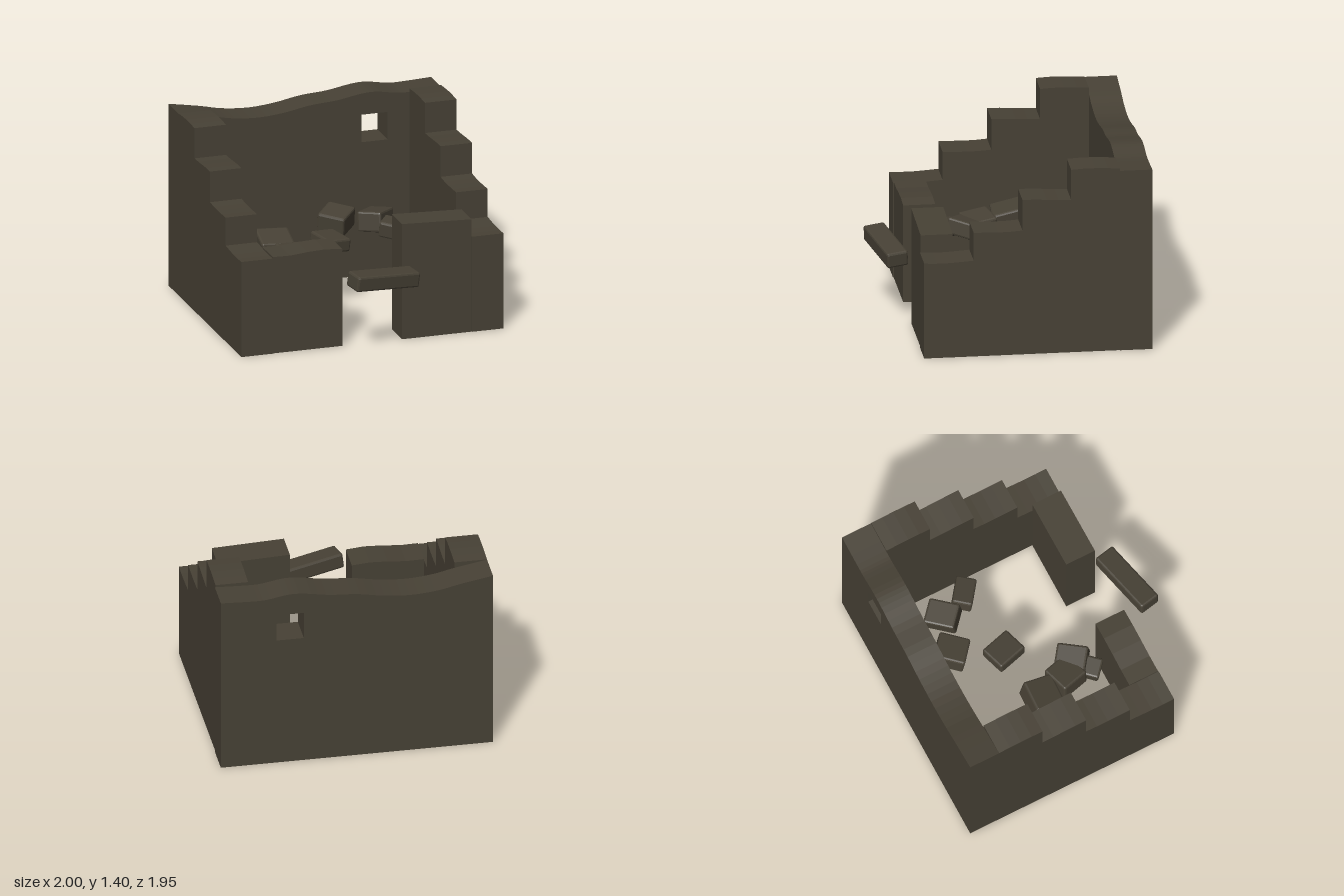
import * as THREE from 'three';
import { RoundedBoxGeometry } from 'three/addons/geometries/RoundedBoxGeometry.js';

const stone = new THREE.MeshStandardMaterial({ color: 0x474135, flatShading: true });
stone.name = 'dark stone';

function add(group, geometry, name) {
  const mesh = new THREE.Mesh(geometry, stone);
  mesh.name = name;
  group.add(mesh);
  return mesh;
}

// Upright wall section whose top follows a height rule
function wallBlock(x0, x1, z0, z1, topAt) {
  const geo = new THREE.BoxGeometry(x1 - x0, 1, z1 - z0, 4, 1, 4);
  geo.translate((x0 + x1) / 2, 0.5, (z0 + z1) / 2);
  const p = geo.attributes.position;
  for (let i = 0; i < p.count; i++) {
    p.setY(i, p.getY(i) > 0.5 ? topAt(p.getX(i), p.getZ(i)) : 0.01);
  }
  return geo;
}

// Back wall with a worn wavy top and a square window
function backWallGeometry() {
  const top = new THREE.SplineCurve([
    [1, 1.385], [0.75, 1.375], [0.65, 1.38], [0.5, 1.405], [0.38, 1.4], [0.2, 1.37], [0, 1.355],
    [-0.2, 1.32], [-0.4, 1.305], [-0.6, 1.322], [-0.76, 1.357], [-1, 1.4],
  ].map(([x, y]) => new THREE.Vector2(x, y)));
  const shape = new THREE.Shape([
    new THREE.Vector2(-1, 0.01), new THREE.Vector2(1, 0.01), ...top.getPoints(36),
  ]);
  shape.holes.push(new THREE.Path([[0.39, 1.03], [0.39, 1.24], [0.59, 1.24], [0.59, 1.03]]
    .map(([x, y]) => new THREE.Vector2(x, y))));
  const geo = new THREE.ExtrudeGeometry(shape, { depth: 0.235, bevelEnabled: false });
  return geo.translate(0, 0, -0.975);
}

export function createModel() {
  const model = new THREE.Group();
  model.name = 'ruinedHouse';

  add(model, backWallGeometry(), 'backWall');

  // Side walls step down towards the front
  const zCuts = [-0.74, -0.385, -0.03, 0.325, 0.685];
  const heights = [1.405, 1.185, 0.958, 0.74];
  for (const [side, x0, x1] of [['left', 0.755, 0.995], ['right', -1, -0.76]]) {
    heights.forEach((h, i) => {
      const topAt = (x, z) => h
        + 0.008 * Math.sin(z * 9 + i * 2)
        + (i === 2 ? 0.03 * (0.15 - z) : 0);
      add(model, wallBlock(x0, x1, zCuts[i], zCuts[i + 1], topAt), `${side}WallStep${i + 1}`);
    });
  }

  // Broken front walls either side of the doorway
  add(model, wallBlock(-0.76, -0.23, 0.447, 0.68,
    (x) => 0.752 + 0.01 * Math.sin((x + 0.53) * 11)), 'frontWallRight');
  add(model, wallBlock(0.225, 0.755, 0.447, 0.68,
    (x) => 0.89 - 0.04 * (x - 0.225)), 'frontWallLeft');

  // Loose rubble: [centre], [size], [tilt x, yaw, tilt z]
  const rubble = [
    [[-0.485, 0.54, -0.12], [0.25, 0.17, 0.23], [0.25, -0.06, -0.05]],
    [[-0.41, 0.52, 0.11], [0.22, 0.15, 0.22], [0.1, 0.27, -0.12]],
    [[-0.33, 0.53, 0.2], [0.22, 0.12, 0.23], [-0.1, -0.65, 0.15]],
    [[-0.44, 0.5, 0.31], [0.15, 0.12, 0.13], [0.1, -0.72, 0.12]],
    [[0.13, 0.535, -0.54], [0.21, 0.15, 0.23], [0.12, -0.7, -0.1]],
    [[0.405, 0.53, -0.465], [0.19, 0.15, 0.23], [-0.12, -0.75, 0.1]],
    [[0.49, 0.52, -0.25], [0.22, 0.12, 0.15], [0.1, -0.65, -0.12]],
    [[-0.03, 0.5, -0.195], [0.2, 0.1, 0.24], [0.06, 0.28, -0.1]],
  ];
  rubble.forEach(([pos, size, tilt], i) => {
    const block = add(model, new RoundedBoxGeometry(...size, 1, 0.015), `rubbleBlock${i + 1}`);
    block.position.set(...pos);
    block.rotation.set(...tilt, 'YXZ');
  });

  // Fallen lintel in front of the doorway
  const lintel = add(model, new RoundedBoxGeometry(0.525, 0.115, 0.16, 1, 0.015), 'fallenLintel');
  lintel.position.set(0.03, 0.545, 0.84);
  lintel.rotation.set(0.07, 0.21, -0.1, 'YXZ');

  return model;
}
